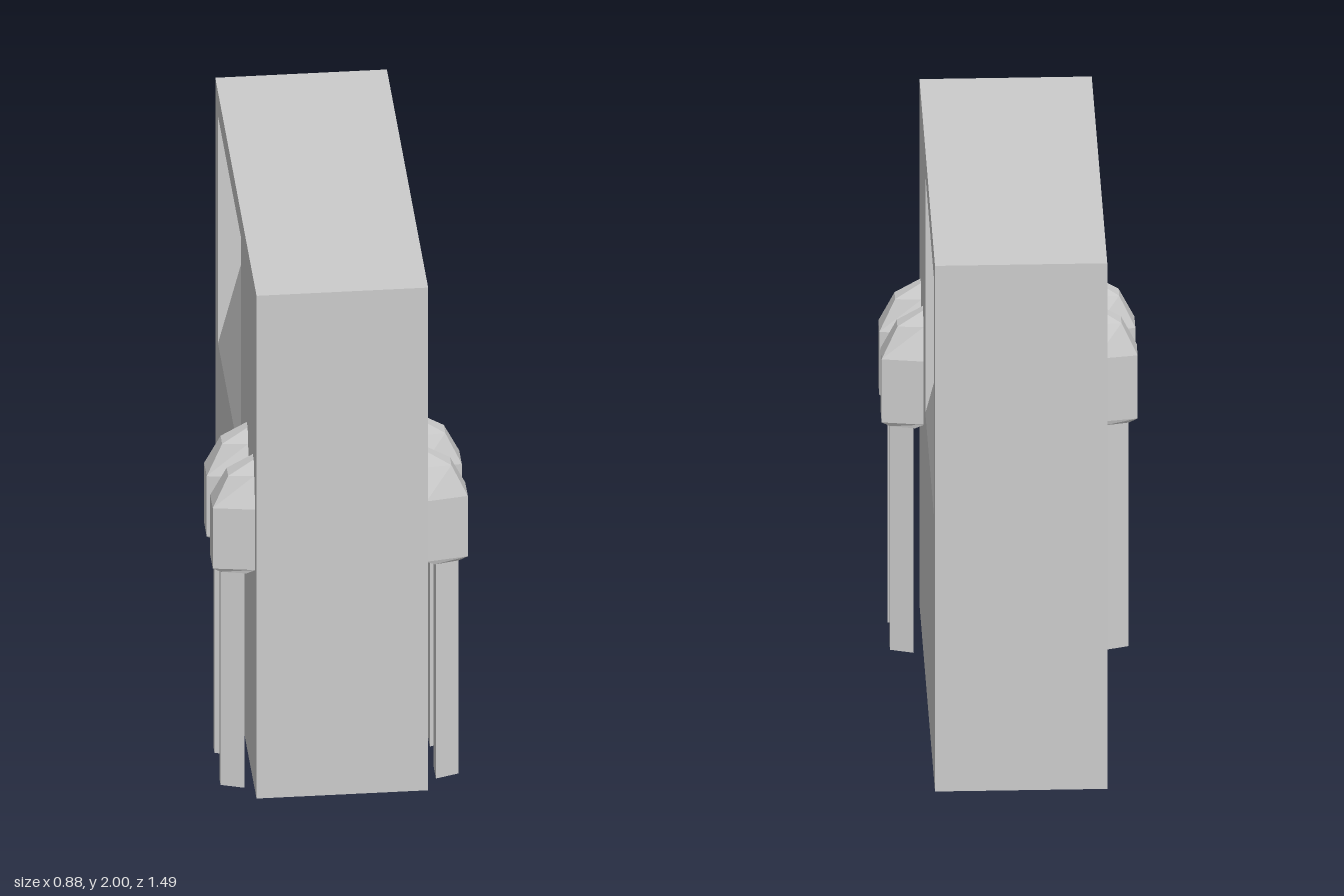
import * as THREE from 'three';

const grey = new THREE.MeshStandardMaterial({ color: 0xcccccc });
grey.name = 'light grey';

// Flat-faced mesh from convex polygons; side = -1 mirrors it across x = 0
function facetMesh(name, polygons, side = 1) {
  const positions = [];
  for (const polygon of polygons) {
    const p = polygon.map(([x, y, z]) => [x * side, y, z]);
    if (side < 0) p.reverse();
    for (let i = 1; i < p.length - 1; i++) positions.push(...p[0], ...p[i], ...p[i + 1]);
  }
  const geometry = new THREE.BufferGeometry();
  geometry.setAttribute('position', new THREE.Float32BufferAttribute(positions, 3));
  geometry.computeVertexNormals();
  const mesh = new THREE.Mesh(geometry, grey);
  mesh.name = name;
  return mesh;
}

// Trapezoid cross-sections [y, inner x, inner half width, outer x, outer half width] joined upward
function loft(sections, z) {
  const rings = sections.map(([y, xi, hi, xo, ho]) => [
    [xi, y, z + hi], [xo, y, z + ho], [xo, y, z - ho], [xi, y, z - hi],
  ]);
  const polygons = [[...rings[0]].reverse(), rings[rings.length - 1]];
  for (let r = 0; r < rings.length - 1; r++) {
    const a = rings[r], b = rings[r + 1];
    for (let i = 0; i < 4; i++) {
      const j = (i + 1) % 4;
      polygons.push([a[i], a[j], b[j], b[i]]);
    }
  }
  return polygons;
}

const W = 0.296, H = 2, D = 0.745; // body half width, height, half depth
const RECESS = { front: 0.178, back: -0.647, bottom: 1.0, top: 1.905, innerTop: 1.82, x: 0.086 };

const HEAD = [
  [0.862, 0.325, 0.06, 0.41, 0.04],
  [0.88, 0.295, 0.07, 0.44, 0.046],
  [1.12, 0.295, 0.07, 0.44, 0.046],
  [1.235, 0.295, 0.036, 0.385, 0.028],
  [1.29, 0.295, 0.018, 0.297, 0.018],
];
const STEM = [
  [0, 0.33, 0.043, 0.41, 0.016],
  [0.865, 0.33, 0.043, 0.41, 0.016],
];

export function createModel() {
  const model = new THREE.Group();
  model.name = 'slab with side posts';

  // Front, back, top and bottom of the body
  model.add(facetMesh('bodyShell', [
    [[-W, 0, D], [W, 0, D], [W, H, D], [-W, H, D]],
    [[W, 0, -D], [-W, 0, -D], [-W, H, -D], [W, H, -D]],
    [[-W, H, D], [W, H, D], [W, H, -D], [-W, H, -D]],
    [[-W, 0, -D], [W, 0, -D], [W, 0, D], [-W, 0, D]],
  ]));

  // Side wall outline, recess opening and the recess's inner top edge
  const { front, back, bottom, top, innerTop, x } = RECESS;
  const outer = [[W, 0, D], [W, 0, -D], [W, H, -D], [W, H, D]];
  const hole = [[W, bottom, front], [W, bottom, back], [W, top, back], [W, top, front]];
  const innerBack = [x, innerTop, back], innerFront = [x, innerTop, front];
  const wall = outer.map((p, i) => {
    const j = (i + 1) % 4;
    return [p, outer[j], hole[j], hole[i]];
  });
  const recess = [
    [hole[0], hole[1], innerBack, innerFront], // sloping panel
    [innerFront, innerBack, hole[2], hole[3]], // sloping ceiling
    [hole[1], hole[2], innerBack],             // rear cheek
    [hole[0], innerFront, hole[3]],            // front cheek
  ];

  for (const side of [1, -1]) {
    const prefix = side > 0 ? 'left' : 'right';
    model.add(facetMesh(prefix + 'Wall', wall, side));
    model.add(facetMesh(prefix + 'Recess', recess, side));

    // Pair of posts with pointed heads
    for (const [label, z] of [['Front', 0.625], ['Rear', 0.406]]) {
      const post = new THREE.Group();
      post.name = prefix + label + 'Post';
      post.add(facetMesh('stem', loft(STEM, z), side));
      post.add(facetMesh('head', loft(HEAD, z), side));
      model.add(post);
    }
  }
  return model;
}
